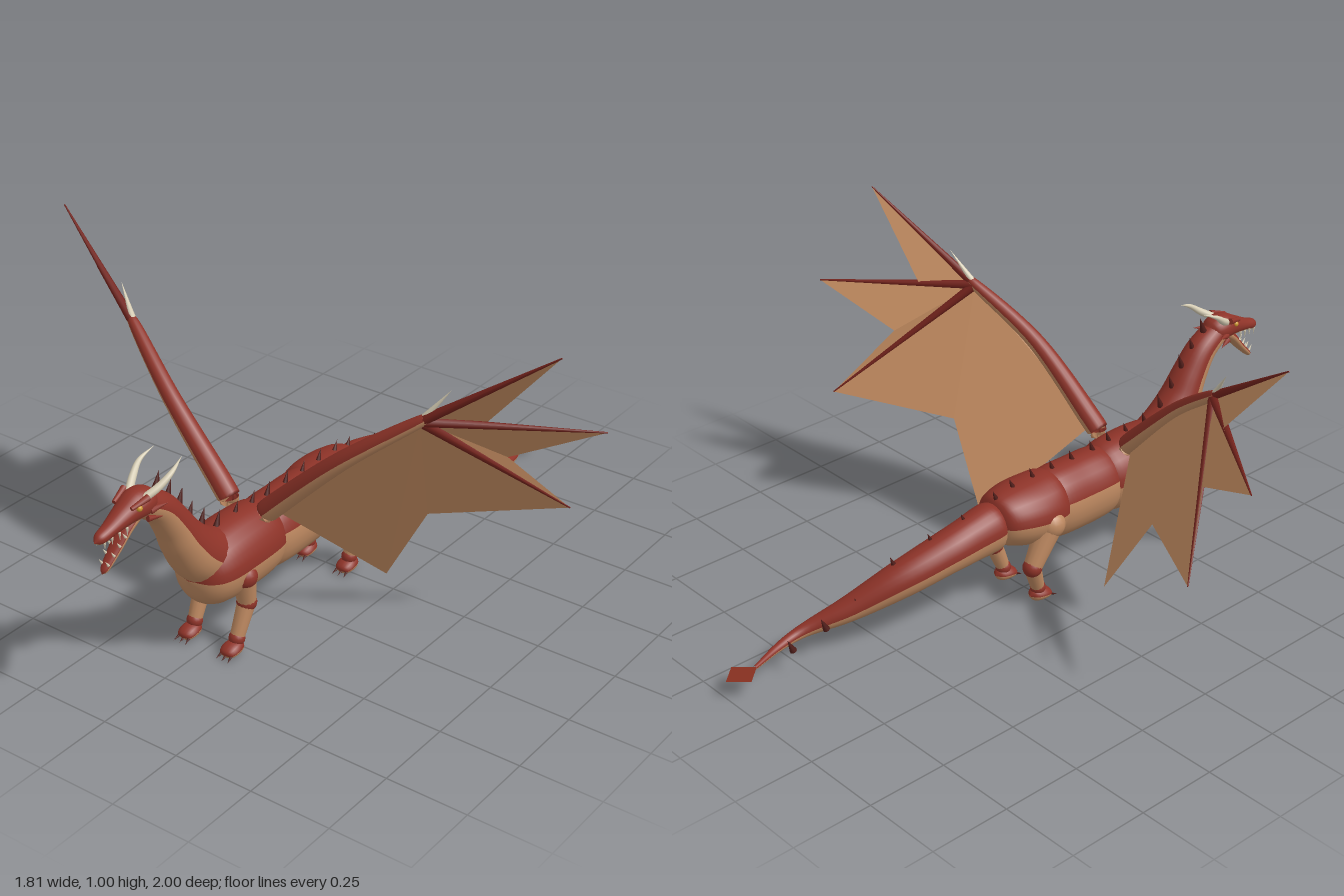
import * as THREE from 'three';

const mat = (name, color) => Object.assign(new THREE.MeshStandardMaterial({ color }), { name });
const V = (p) => new THREE.Vector3(...p);
const Y = new THREE.Vector3(0, 1, 0);

export function createModel() {
  const red = mat('scaleRed', 0x8e3328);
  const tan = mat('bellyTan', 0xbd8860);
  const skin = mat('wingMembrane', 0xc68e62);
  skin.side = THREE.DoubleSide;
  const spade = mat('tailSpadeRed', 0x86301f);
  spade.side = THREE.DoubleSide;
  const dark = mat('spikeDark', 0x4e1c18);
  const finger = mat('fingerRed', 0x74231c);
  const bone = mat('bone', 0xd6cdb4);
  const eyeMat = mat('eyeAmber', 0xc9962e);

  const root = new THREE.Group();
  const add = (name, geo, material) => {
    const m = new THREE.Mesh(geo, material);
    m.name = name;
    root.add(m);
    return m;
  };

  // Smooth tube through stations [x, y, z, rx, ry]; back above the split, belly below
  function loft(name, st, split = 0, mats = [red, tan], steps = 6, n = 24) {
    const path = new THREE.CatmullRomCurve3(st.map((s) => V(s.slice(0, 3))), false, 'catmullrom');
    const radii = new THREE.CatmullRomCurve3(st.map((s) => new THREE.Vector3(s[3], s[4], 0)), false, 'catmullrom');
    const rows = (st.length - 1) * steps;
    const pos = [], back = [], belly = [];
    for (let i = 0; i <= rows; i++) {
      const c = path.getPoint(i / rows), r = radii.getPoint(i / rows), t = path.getTangent(i / rows);
      const side = new THREE.Vector3().crossVectors(t, Y).normalize();
      const up = new THREE.Vector3().crossVectors(side, t);
      for (let j = 0; j < n; j++) {
        const a = (j / n) * Math.PI * 2;
        const p = c.clone()
          .addScaledVector(side, Math.cos(a) * Math.max(r.x, 0.0004))
          .addScaledVector(up, Math.sin(a) * Math.max(r.y, 0.0004));
        pos.push(p.x, p.y, p.z);
        if (i === rows) continue;
        const k = (j + 1) % n, q = i * n;
        const list = Math.sin(((j + 0.5) / n) * Math.PI * 2) > split ? back : belly;
        list.push(q + j, q + n + j, q + k, q + k, q + n + j, q + n + k);
      }
    }
    const g = new THREE.BufferGeometry();
    g.setAttribute('position', new THREE.Float32BufferAttribute(pos, 3));
    g.setIndex([...back, ...belly]);
    g.addGroup(0, back.length, 0);
    g.addGroup(back.length, belly.length, 1);
    g.computeVertexNormals();
    return add(name, g, mats);
  }

  // Straight tapered piece between two points
  function limb(name, a, b, r0, r1, material, sides = 14) {
    const d = V(b).sub(V(a));
    const m = add(name, new THREE.CylinderGeometry(r1, r0, d.length(), sides), material);
    m.position.copy(V(a)).addScaledVector(d, 0.5);
    m.quaternion.setFromUnitVectors(Y, d.normalize());
  }
  function ball(name, p, r, material) {
    add(name, new THREE.SphereGeometry(r, 18, 12), material).position.set(...p);
  }
  const spike = (name, p, tip, r, material) => limb(name, p, tip, r, 0, material, 8);

  // Torso in three overlapping swells
  loft('chest', [[0, 0.262, 0.637, 0, 0], [0, 0.262, 0.615, 0.065, 0.072], [0, 0.263, 0.56, 0.1, 0.108],
    [0, 0.265, 0.45, 0.107, 0.12], [0, 0.262, 0.33, 0.098, 0.114], [0, 0.26, 0.28, 0.07, 0.08]], 0.1);
  loft('belly', [[0, 0.258, 0.36, 0.07, 0.09], [0, 0.258, 0.3, 0.095, 0.113], [0, 0.257, 0.2, 0.097, 0.117],
    [0, 0.26, 0.1, 0.095, 0.113], [0, 0.265, 0.04, 0.07, 0.09]], 0.3);
  loft('hips', [[0, 0.265, 0.13, 0.06, 0.07], [0, 0.265, 0.09, 0.1, 0.106], [0, 0.272, 0.01, 0.112, 0.103],
    [0, 0.28, -0.07, 0.1, 0.09], [0, 0.28, -0.12, 0.068, 0.068], [0, 0.28, -0.137, 0, 0]], -0.1);
  loft('neck', [[0, 0.29, 0.53, 0.08, 0.085], [0, 0.34, 0.6, 0.076, 0.08], [0, 0.41, 0.655, 0.066, 0.066],
    [0, 0.48, 0.695, 0.056, 0.055], [0, 0.55, 0.745, 0.048, 0.047], [0, 0.595, 0.81, 0.042, 0.04]]);
  loft('tail', [[0, 0.27, -0.11, 0.05, 0.05], [0, 0.27, -0.135, 0.068, 0.077], [0, 0.26, -0.22, 0.064, 0.072],
    [0.01, 0.242, -0.31, 0.062, 0.064], [0.042, 0.2, -0.44, 0.055, 0.056], [0.108, 0.13, -0.58, 0.04, 0.038],
    [0.168, 0.08, -0.7, 0.021, 0.021], [0.168, 0.065, -0.79, 0.014, 0.013], [0.135, 0.06, -0.9, 0.006, 0.006]], -0.12);

  // Flat diamond at the end of the tail
  const diamond = new THREE.Shape([[0, -0.053], [0.048, 0], [0, 0.053], [-0.048, 0]].map((p) => new THREE.Vector2(...p)));
  const tip = add('tailSpade', new THREE.ShapeGeometry(diamond), spade);
  tip.rotation.x = -Math.PI / 2;
  tip.position.set(0.135, 0.06, -0.947);

  // Head with open jaw
  loft('head', [[0, 0.6, 0.775, 0.02, 0.02], [0, 0.602, 0.795, 0.04, 0.038], [0, 0.605, 0.835, 0.046, 0.043],
    [0, 0.594, 0.885, 0.035, 0.031], [0, 0.578, 0.94, 0.024, 0.02], [0, 0.567, 0.98, 0.017, 0.016], [0, 0.563, 1, 0, 0]], -0.5);
  loft('lowerJaw', [[0, 0.585, 0.84, 0.03, 0.02], [0, 0.555, 0.88, 0.026, 0.016], [0, 0.508, 0.925, 0.02, 0.012],
    [0, 0.47, 0.965, 0.013, 0.009], [0, 0.458, 0.977, 0, 0]], 0.3);

  // Spikes along the back: [x, y, z]
  const ridge = [[0, 0.625, 0.755], [0, 0.575, 0.71], [0, 0.53, 0.665], [0, 0.47, 0.625], [0, 0.425, 0.575], [0, 0.385, 0.51],
    [0, 0.378, 0.43], [0, 0.376, 0.355], [0, 0.372, 0.285], [0, 0.37, 0.2], [0, 0.367, 0.12], [0, 0.37, 0.04],
    [0, 0.37, -0.04], [0, 0.355, -0.105], [0.01, 0.32, -0.22], [0.03, 0.29, -0.33], [0.055, 0.25, -0.45],
    [0.08, 0.15, -0.565], [0.095, 0.12, -0.675], [0.115, 0.085, -0.78]];
  for (const [x, y, z] of ridge) {
    const h = z > 0 ? 0.038 : 0.03;
    spike('backSpike', [x, y - 0.012, z], [x, y + h, z - 0.018], 0.011, dark);
  }

  for (const s of [1, -1]) {
    // Horns, eyes, cheek spikes and teeth
    loft('horn', [[s * 0.027, 0.628, 0.83, 0.012, 0.012], [s * 0.046, 0.652, 0.79, 0.011, 0.011],
      [s * 0.056, 0.68, 0.75, 0.007, 0.007], [s * 0.048, 0.702, 0.7, 0, 0]], 0, [bone, bone], 5, 10);
    ball('eye', [s * 0.037, 0.616, 0.862], 0.009, eyeMat);
    limb('brow', [s * 0.03, 0.622, 0.885], [s * 0.042, 0.636, 0.83], 0.006, 0.01, red, 8);
    spike('cheekSpike', [s * 0.038, 0.59, 0.82], [s * 0.058, 0.598, 0.77], 0.011, red);
    spike('cheekSpike', [s * 0.036, 0.57, 0.83], [s * 0.052, 0.562, 0.785], 0.01, red);
    for (let i = 0; i < 4; i++) {
      const z = 0.9 + i * 0.025, x = s * (0.026 - i * 0.004);
      spike('upperTooth', [x, 0.572 - i * 0.004, z], [x, 0.546 - i * 0.003, z], 0.004, bone);
      const k = i * 0.02;
      spike('lowerTooth', [x * 0.8, 0.542 - k, 0.902 + k], [x * 0.8, 0.56 - k, 0.914 + k], 0.004, bone);
    }

    // Legs: [name, top joint, knee, ankle, foot z, top radius]
    const legs = [['front', [0.082, 0.235, 0.49], [0.079, 0.145, 0.48], [0.077, 0.045, 0.525], 0.54, 0.037],
      ['rear', [0.082, 0.25, 0.03], [0.086, 0.13, -0.045], [0.077, 0.045, -0.015], -0.012, 0.046]];
    for (const [name, a, b, c, fz, r] of legs) {
      const m = ([x, y, z]) => [x * s, y, z];
      ball(name + 'LegJoint', m(a), r, name === 'front' ? red : tan);
      limb(name + 'UpperLeg', m(a), m(b), r * 0.9, 0.028, tan);
      ball(name + 'Knee', m(b), 0.03, red);
      limb(name + 'LowerLeg', m(b), m(c), 0.027, 0.021, tan);
      ball(name + 'Ankle', m(c), 0.024, red);
      const x = s * 0.077;
      loft(name + 'Foot', [[x, 0.024, fz - 0.035, 0, 0], [x, 0.024, fz - 0.02, 0.022, 0.018],
        [x, 0.022, fz + 0.01, 0.029, 0.02], [x, 0.016, fz + 0.035, 0.022, 0.013], [x, 0.014, fz + 0.042, 0, 0]], 0, [red, tan], 4, 16);
      for (const k of [-1, 0, 1]) {
        spike(name + 'Claw', [x + k * 0.016, 0.016, fz + 0.028], [x + k * 0.021, 0.004, fz + 0.056], 0.006, dark);
      }
    }

    // Wing arm, thumb claw and fingers
    const p = (x, y, z) => [s * x, y, z];
    const shoulder = p(0.085, 0.395, 0.365), mid = p(0.3, 0.605, 0.33), wrist = p(0.5, 0.757, 0.255);
    loft('wingArm', [[...p(0.07, 0.38, 0.368), 0.03, 0.03], [...p(0.09, 0.405, 0.365), 0.034, 0.034],
      [...mid, 0.027, 0.027], [...wrist, 0.017, 0.017], [...p(0.51, 0.762, 0.25), 0, 0]], 0.1, [red, tan], 8, 18);
    spike('thumbClaw', wrist, p(0.575, 0.86, 0.22), 0.012, bone);
    const tips = [p(0.855, 1.005, 0.145), p(0.905, 0.727, -0.035), p(0.765, 0.412, -0.108)];
    for (const t of tips) limb('wingFinger', wrist, t, 0.015, 0.002, finger, 8);

    // Membrane fanned from the wrist, notched between the fingers
    const edge = [tips[0], p(0.64, 0.752, 0.145), tips[1], p(0.655, 0.61, 0.055), tips[2],
      p(0.43, 0.373, 0.1), p(0.272, 0.1, 0.07), shoulder, mid];
    const tri = [];
    for (let i = 0; i < edge.length - 1; i++) tri.push(...wrist, ...edge[i], ...edge[i + 1]);
    const g = new THREE.BufferGeometry();
    g.setAttribute('position', new THREE.Float32BufferAttribute(tri, 3));
    g.computeVertexNormals();
    add('wingMembrane', g, skin);
  }
  return root;
}
